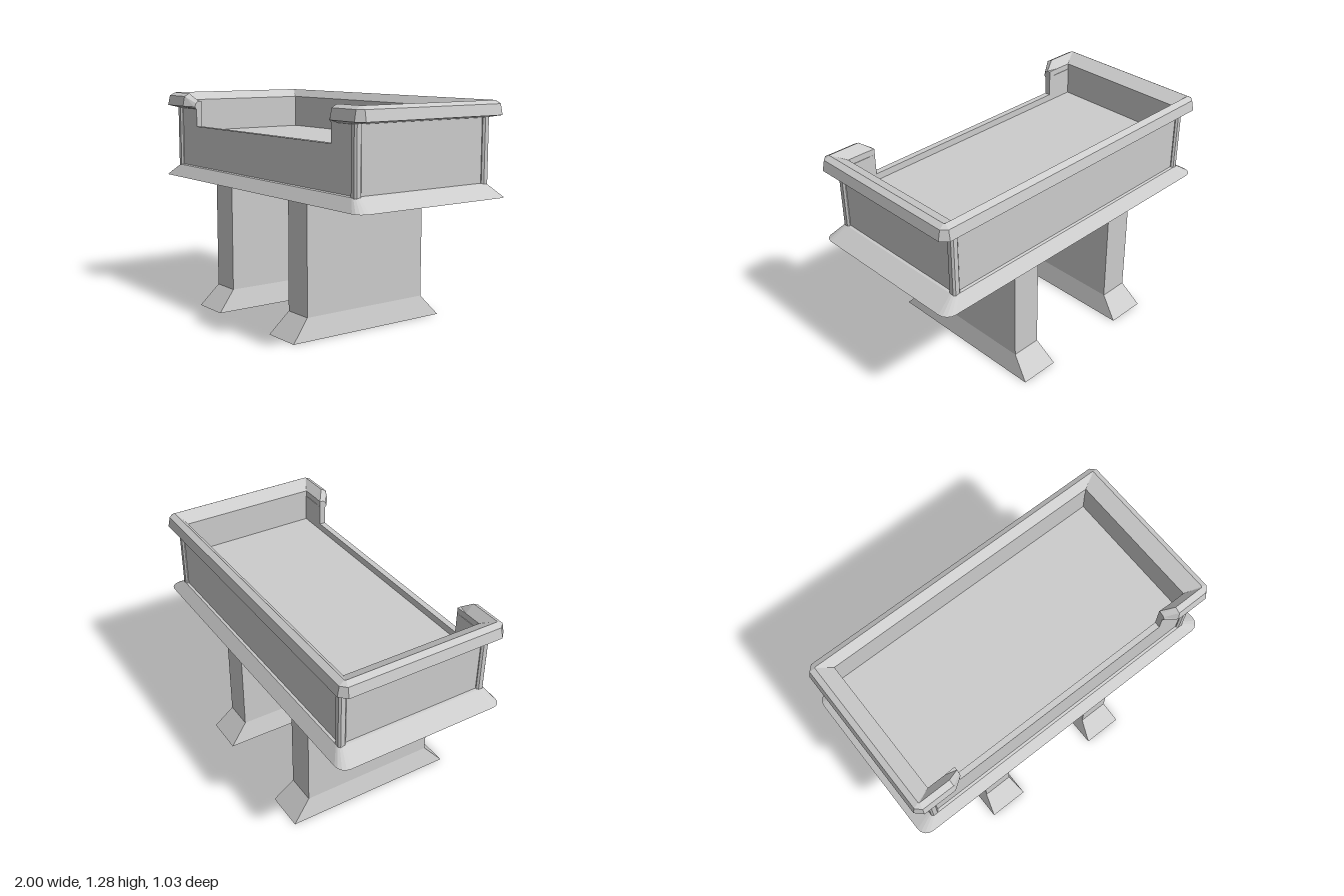
import * as THREE from 'three';

const material = new THREE.MeshStandardMaterial({ color: 0xcccccc, flatShading: true });

// Skins a row of closed loops and caps both ends
function loft(loops) {
  const pos = [];
  const tri = (a, b, c) => pos.push(...a, ...b, ...c);
  const n = loops[0].length;
  for (let i = 0; i < loops.length - 1; i++) {
    for (let j = 0; j < n; j++) {
      const k = (j + 1) % n;
      tri(loops[i][j], loops[i][k], loops[i + 1][k]);
      tri(loops[i][j], loops[i + 1][k], loops[i + 1][j]);
    }
  }
  const first = loops[0], last = loops[loops.length - 1];
  for (let j = 1; j < n - 1; j++) {
    tri(first[0], first[j + 1], first[j]);
    tri(last[0], last[j], last[j + 1]);
  }
  const geo = new THREE.BufferGeometry();
  geo.setAttribute('position', new THREE.Float32BufferAttribute(pos, 3));
  geo.computeVertexNormals();
  return geo;
}

// Horizontal rectangle with rounded corners, starting at the front and turning towards +x
function rectLoop(hx, hz, y, r = 0, steps = 0) {
  const pts = [];
  [[1, 1], [1, -1], [-1, -1], [-1, 1]].forEach(([sx, sz], q) => {
    for (let k = 0; k <= steps; k++) {
      const a = (q + (steps ? k / steps : 0)) * Math.PI / 2;
      pts.push([sx * (hx - r) + r * Math.sin(a), y, sz * (hz - r) + r * Math.cos(a)]);
    }
  });
  return pts;
}

export function createModel() {
  const model = new THREE.Group();
  const add = (name, geo, x = 0, y = 0, z = 0) => {
    const mesh = new THREE.Mesh(geo, material);
    mesh.name = name;
    mesh.position.set(x, y, z);
    model.add(mesh);
    return mesh;
  };

  // Two slab legs with flared feet
  for (const [name, x] of [['rightLeg', -0.4275], ['leftLeg', 0.34]]) {
    add(name, loft([
      rectLoop(0.1175, 0.515, 0),
      rectLoop(0.0885, 0.405, 0.122),
      rectLoop(0.0885, 0.405, 0.78),
    ]), x);
  }

  // Flared skirt under the basin
  add('skirt', loft([
    rectLoop(1, 0.506, 0.765, 0.06, 4),
    rectLoop(0.9, 0.455, 0.832, 0.03, 4),
    rectLoop(0.87, 0.43, 0.838, 0.01, 4),
  ]));

  // Basin floor, back wall and side walls
  add('basinFloor', new THREE.BoxGeometry(1.72, 0.22, 0.83), 0, 0.93, 0);
  add('backWall', new THREE.BoxGeometry(1.77, 0.41, 0.03), 0, 1.03, -0.425);
  for (const s of [-1, 1]) {
    add('sideWall', new THREE.BoxGeometry(0.03, 0.41, 0.86), s * 0.87, 1.03, 0);
  }

  // Front wall with a wide notch
  const front = new THREE.Shape([
    [-0.885, 0.825], [0.885, 0.825], [0.885, 1.2], [0.685, 1.2],
    [0.685, 1.08], [-0.685, 1.08], [-0.685, 1.2], [-0.885, 1.2],
  ].map(([x, y]) => new THREE.Vector2(x, y)));
  add('frontWall', new THREE.ExtrudeGeometry(front, { depth: 0.035, bevelEnabled: false }), 0, 0, 0.405);

  // Chamfered corner posts, slightly proud of the walls
  const h = 0.0225, c = 0.01;
  const postLoop = y => [
    [h - c, y, h], [h, y, h - c], [h, y, c - h], [h - c, y, -h],
    [c - h, y, -h], [-h, y, c - h], [-h, y, h - c], [c - h, y, h],
  ];
  for (const sx of [-1, 1]) {
    for (const sz of [-1, 1]) {
      add('cornerPost', loft([postLoop(0.82), postLoop(1.195)]), sx * 0.8775, 0, sz * 0.4325);
    }
  }

  // Rim profile: half width, half depth, height, corner chamfer
  const profile = [
    [0.855, 0.408, 1.235, 0], [0.94, 0.453, 1.28, 0.005], [0.972, 0.486, 1.262, 0.03],
    [0.985, 0.498, 1.203, 0.04], [0.89, 0.445, 1.187, 0.01], [0.855, 0.408, 1.187, 0],
  ];
  // Where the rim stops at the notch it tapers down to the wall thickness
  const endProfile = [
    [0.405, 1.235], [0.425, 1.235], [0.443, 1.222], [0.452, 1.2], [0.443, 1.187], [0.405, 1.187],
  ];
  const half = [
    endProfile.map(([z, y]) => [0.685, y, z]),
    profile.map(([, z, y]) => [0.75, y, z]),
    profile.map(([x, z, y, r]) => [x - r, y, z]),
    profile.map(([x, z, y, r]) => [x, y, z - r]),
    profile.map(([x, z, y, r]) => [x, y, r - z]),
    profile.map(([x, z, y, r]) => [x - r, y, -z]),
  ];
  const mirrored = half.map(loop => loop.map(([x, y, z]) => [-x, y, z])).reverse();
  add('rim', loft([...half, ...mirrored]));

  return model;
}
